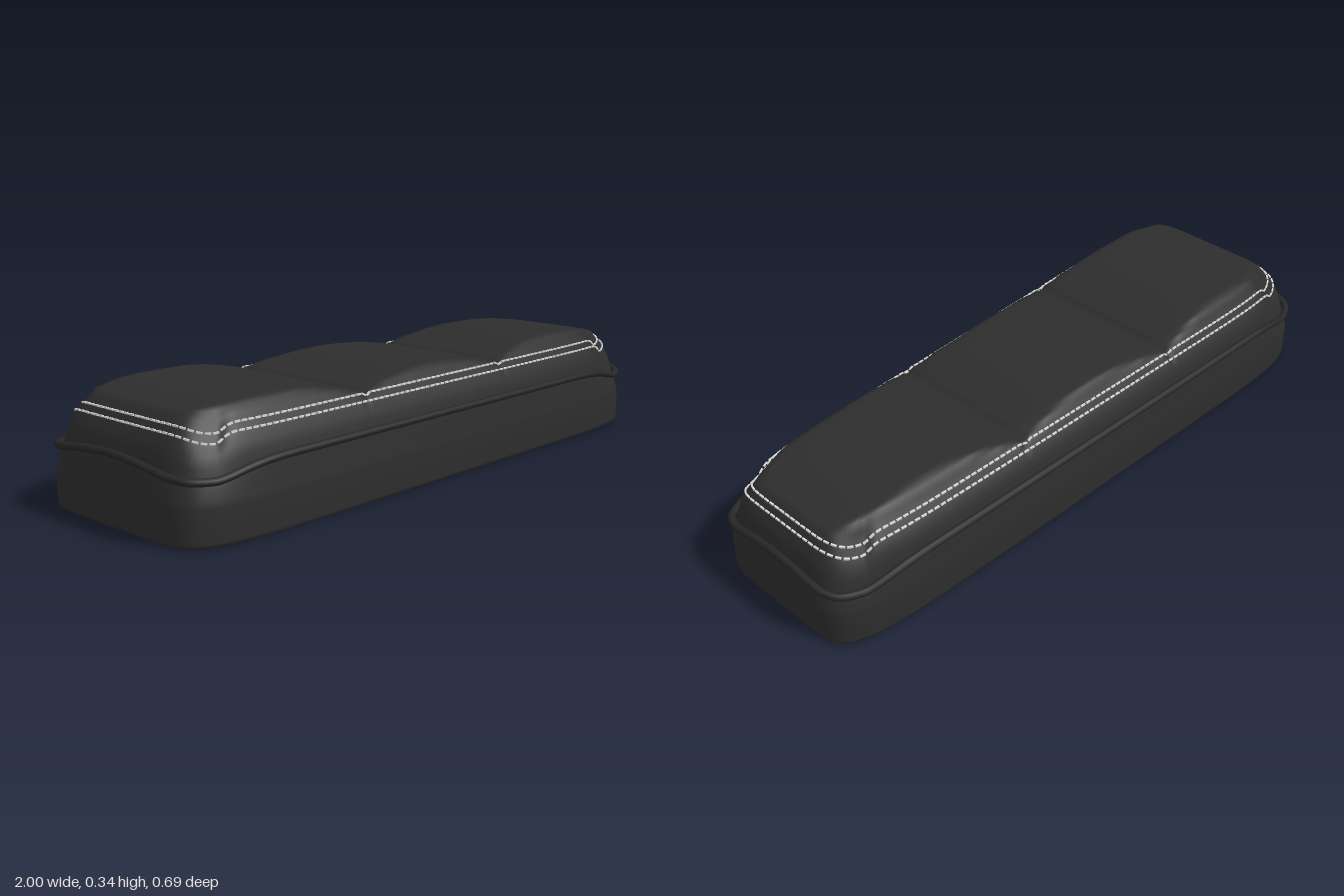
import * as THREE from 'three';
import { mergeGeometries, mergeVertices } from 'three/addons/utils/BufferGeometryUtils.js';

const SIDE = 240, END = 24;            // outline samples per long side and per half end
const HALF = SIDE + 2 * END, N = 2 * HALF;
const SEAMS = [-0.33, 0.285];

// Point on a unit square, walking from +x over +z to -x and back
function square(i) {
  i = ((i % N) + N) % N;
  if (i > HALF) { const s = square(N - i); return { p: s.p, q: -s.q, dist: s.dist }; }
  if (i <= END) return { p: 1, q: i / END, dist: (1 - i / END) * 0.3 };
  if (i >= END + SIDE) { const q = (HALF - i) / END; return { p: -1, q, dist: (1 - q) * 0.3 }; }
  const p = 1 - 2 * (i - END) / SIDE;
  return { p, q: 1, dist: 1 - Math.abs(p) };
}

// Height of the three padded panels, with narrow seam grooves
function topHeight(x) {
  let y;
  if (x < SEAMS[0]) y = 0.345 - 0.045 * ((x + 0.63) / (x > -0.63 ? 0.3 : 0.45)) ** 2;
  else if (x < SEAMS[1]) y = 0.335 - 0.035 * ((x + 0.022) / 0.308) ** 2;
  else y = 0.345 - 0.045 * ((x - 0.6) / (x < 0.6 ? 0.315 : 0.4)) ** 2;
  for (const s of SEAMS) y -= 0.007 * Math.exp(-(((x - s) / 0.013) ** 2));
  return y;
}

// Tapered rounded outline, inset by d, at height y, dipping near the corners
function outline(i, { d, y, dip = 0, spread = 0.1, below }) {
  const { p, q, dist } = square(i);
  const n = (p ** 8 + q ** 8) ** (1 / 8);
  const x = (p / n) * (1 - d);
  const z = (q / n) * (0.323 - 0.035 * x - d);
  let h = y - dip * Math.exp(-((dist / spread) ** 2));
  if (below !== undefined) h = Math.min(h, topHeight(x) - below);
  return new THREE.Vector3(x, h, z);
}

function grid(point, nu, nv) {
  const pos = [], index = [];
  for (let u = 0; u <= nu; u++) for (let v = 0; v <= nv; v++) pos.push(...point(u, v).toArray());
  for (let u = 0; u < nu; u++) for (let v = 0; v < nv; v++) {
    const a = u * (nv + 1) + v, b = a + nv + 1;
    index.push(a, a + 1, b, b, a + 1, b + 1);
  }
  const g = new THREE.BufferGeometry();
  g.setAttribute('position', new THREE.Float32BufferAttribute(pos, 3));
  g.setIndex(index);
  return g;
}

const loft = (rings) => grid((u, v) => outline(u, rings[v]), N, rings.length - 1);

// Fill between the two long halves of a ring
const cap = (ring, flip) => grid((u, v) => {
  const a = outline(u, ring), b = outline(N - u, ring);
  return a.lerp(b, (flip ? 8 - v : v) / 8);
}, HALF, 8);

function smooth(...parts) {
  const g = mergeVertices(mergeGeometries(parts), 1e-5);
  g.computeVertexNormals();
  return g;
}

export function createModel() {
  const group = new THREE.Group();
  const mat = (name, color) => {
    const m = new THREE.MeshStandardMaterial({ color });
    m.name = name;
    return m;
  };
  const leather = mat('black leather', 0x2d2d2d);
  const trim = mat('piping black', 0x272727);
  const thread = mat('white thread', 0xd8d8d8);
  const add = (name, geometry, material) => {
    const m = new THREE.Mesh(geometry, material);
    m.name = name;
    group.add(m);
  };

  const pipeLine = { d: 0.022, y: 0.205, dip: 0.033, spread: 0.17 };

  // Lower skirt
  add('skirt', smooth(loft([
    { d: 0.012, y: 0.004 },
    { d: 0.006, y: 0.008 },
    { d: 0.005, y: 0.016 },
    { d: 0.005, y: 0.06 },
    { d: 0.005, y: 0.105 },
    { d: 0.009, y: 0.125 },
    { d: 0.015, y: 0.165, dip: 0.015, spread: 0.17 },
    pipeLine,
  ])), leather);

  // Underside, bowed slightly down in the middle
  const under = cap({ d: 0.012, y: 0.004 }, true);
  const up = under.attributes.position;
  for (let i = 0; i < up.count; i++) up.setY(i, 0.004 * up.getX(i) ** 2);
  add('underside', smooth(under), leather);

  // Padded cushion with three panels
  const rim = { d: 0.125, y: 1, below: 0 };
  add('cushion', smooth(loft([
    pipeLine,
    { d: 0.028, y: 0.228, dip: 0.03, spread: 0.12 },
    { d: 0.037, y: 0.252, dip: 0.027, spread: 0.08 },
    { d: 0.054, y: 0.28, dip: 0.025, spread: 0.06, below: 0.015 },
    { d: 0.07, y: 0.298, dip: 0.022, spread: 0.06, below: 0.006 },
    { d: 0.082, y: 0.316, dip: 0.015, spread: 0.06, below: 0.004 },
    { d: 0.095, y: 0.333, dip: 0.008, spread: 0.06, below: 0.003 },
    { d: 0.108, y: 0.342, below: 0.001 },
    rim,
  ]), cap(rim)), leather);

  // Piping cord around the joint
  const loop = (ring, step) => {
    const pts = [];
    for (let i = 0; i < N; i += step) pts.push(outline(i, ring));
    return new THREE.CatmullRomCurve3(pts, true);
  };
  const cord = loop({ ...pipeLine, d: 0.011 }, 4);
  add('piping', new THREE.TubeGeometry(cord, 320, 0.011, 10, true), trim);

  // Two rows of dashed stitching
  const rows = [
    { d: 0.051, y: 0.279, dip: 0.025, spread: 0.06 },
    { d: 0.067, y: 0.298, dip: 0.022, spread: 0.06, below: 0.004 },
  ];
  rows.forEach((ring, r) => {
    const curve = loop(ring, 2);
    curve.arcLengthDivisions = 1200;
    const count = 210, dashes = [];
    const dash = new THREE.Object3D();
    for (let k = 0; k < count; k++) {
      const at = curve.getPointAt(k / count);
      dash.position.copy(at);
      dash.lookAt(at.clone().add(curve.getTangentAt(k / count)));
      dash.updateMatrix();
      dashes.push(new THREE.BoxGeometry(0.005, 0.005, 0.016).applyMatrix4(dash.matrix));
    }
    add(r ? 'upperStitching' : 'lowerStitching', mergeGeometries(dashes), thread);
  });

  return group;
}
